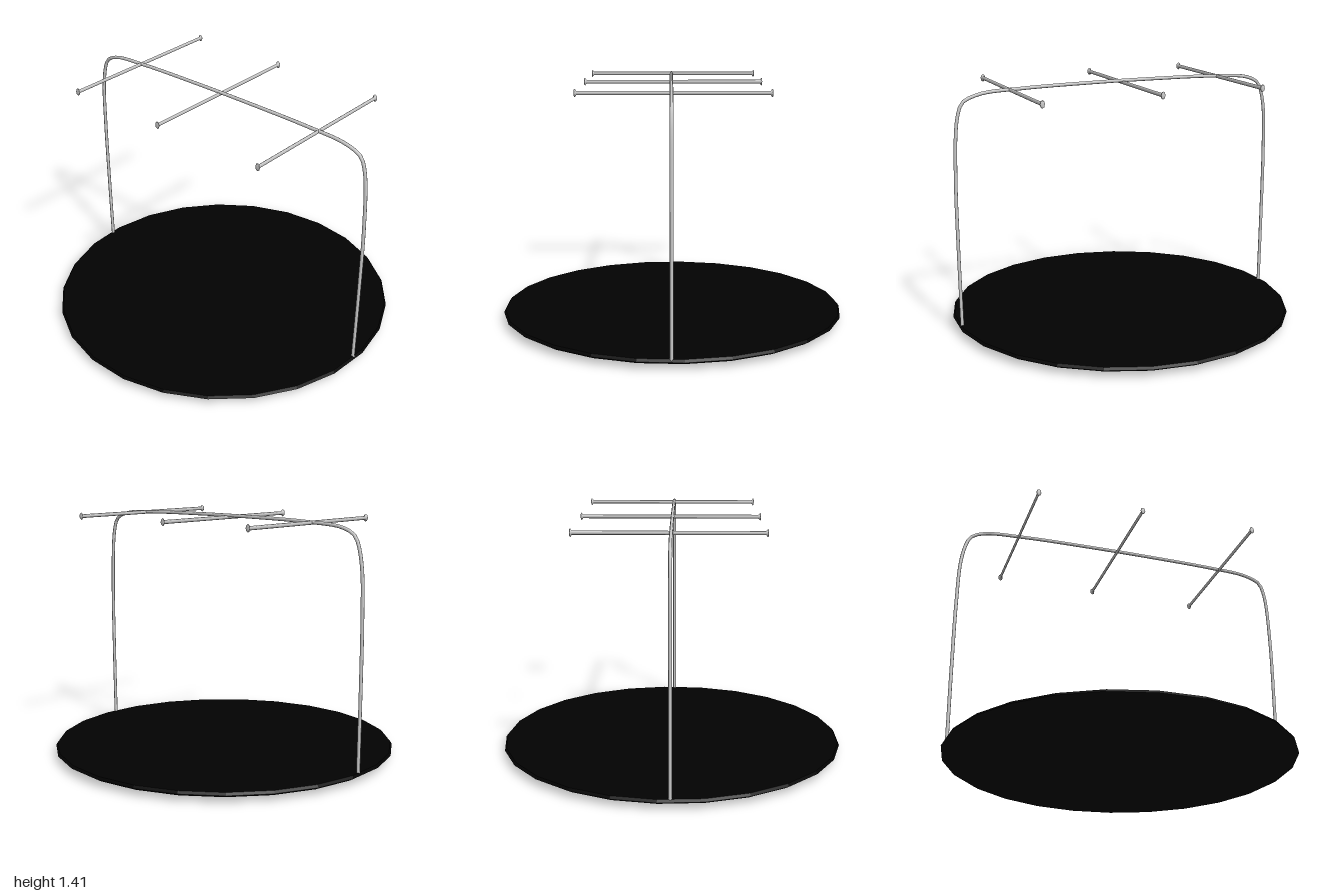
import * as THREE from 'three';

const metal = new THREE.MeshStandardMaterial({ color: 0xcccccc });
const black = new THREE.MeshStandardMaterial({ color: 0x020202, flatShading: true });

function addMesh(parent, name, geometry, material) {
  const mesh = new THREE.Mesh(geometry, material);
  mesh.name = name;
  parent.add(mesh);
  return mesh;
}

// Crossbar with flared end knobs, turned along x and flattened front to back
function makeCrossbar(z) {
  const half = 0.515;
  const profile = [
    [0, -half], [0.018, -half], [0.022, -half + 0.005], [0.011, -half + 0.013],
    [0.011, half - 0.013], [0.022, half - 0.005], [0.018, half], [0, half],
  ].map(([r, y]) => new THREE.Vector2(r, y));
  const geometry = new THREE.LatheGeometry(profile, 8);
  geometry.rotateZ(-Math.PI / 2);
  geometry.scale(1, 1, 0.65);
  geometry.translate(0.005, 1.387, z);
  return geometry;
}

export function createModel() {
  const group = new THREE.Group();

  // Round base: flat top, thin rim and gently dished underside
  const dish = [[0, 0.003], [0.5, 0.005], [0.9, 0.022], [0.975, 0.03], [1, 0.045], [0.99, 0.06], [0, 0.06]]
    .map(([r, y]) => new THREE.Vector2(r, y));
  addMesh(group, 'base', new THREE.LatheGeometry(dish, 25, Math.PI / 2), black);

  // Bent tube arch standing on the front and back of the base
  const path = [
    [0.05, 0.979], [0.5, 0.984], [0.9, 0.984], [1.2, 0.97], [1.29, 0.952], [1.335, 0.93],
    [1.375, 0.83], [1.39, 0.6], [1.397, 0.2], [1.397, -0.2], [1.39, -0.6],
    [1.372, -0.84], [1.335, -0.92], [1.29, -0.945], [1.16, -0.972], [0.9, -0.981], [0.5, -0.981], [0.05, -0.977],
  ].map(([y, z]) => new THREE.Vector3(-0.006, y, z));
  const curve = new THREE.CatmullRomCurve3(path);
  addMesh(group, 'arch', new THREE.TubeGeometry(curve, 120, 0.01, 8), metal);

  // Three crossbars resting along the top of the arch
  [['frontCrossbar', 0.66], ['middleCrossbar', -0.022], ['backCrossbar', -0.637]].forEach(([name, z]) => {
    addMesh(group, name, makeCrossbar(z), metal);
  });

  return group;
}
